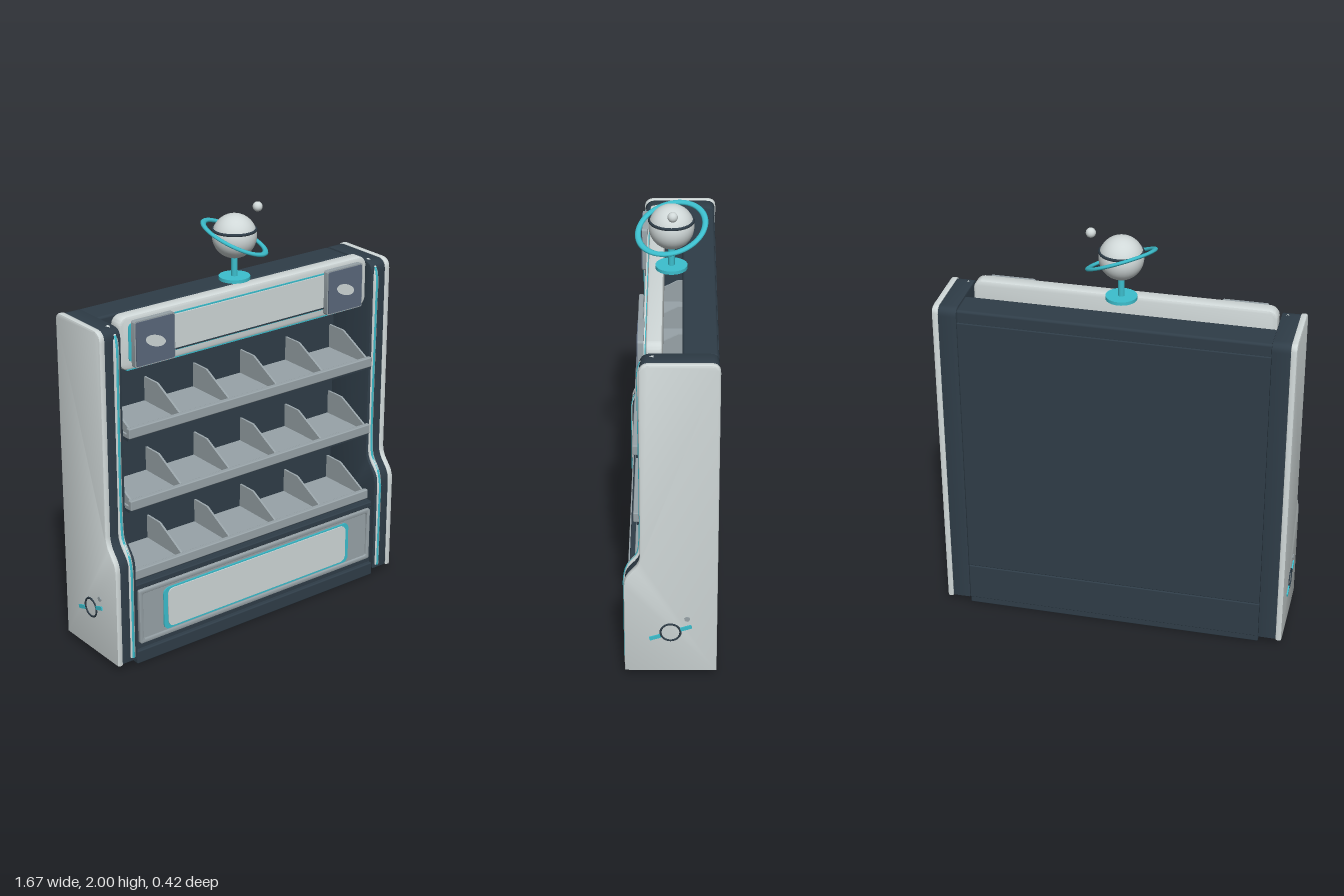
import * as THREE from 'three';
import { RoundedBoxGeometry } from 'three/addons/geometries/RoundedBoxGeometry.js';
import { toCreasedNormals } from 'three/addons/utils/BufferGeometryUtils.js';

const mat = (name, color) => {
  const m = new THREE.MeshStandardMaterial({ color });
  m.name = name;
  return m;
};

export function createModel() {
  const root = new THREE.Group();
  root.name = 'displayShelf';
  const dark = mat('darkNavy', 0x2f3d48);
  const light = mat('paleGrey', 0xd0d8d8);
  const grey = mat('shelfGrey', 0x98a3a8);
  const cyan = mat('cyan', 0x3cbfce);
  const slate = mat('slate', 0x5b687c);

  const add = (name, geo, material, parent = root) => {
    const m = new THREE.Mesh(geo, material);
    m.name = name;
    parent.add(m);
    return m;
  };
  // Box given by its limits on each axis
  const box = (name, material, [x0, x1], [y0, y1], [z0, z1], r = 0) => {
    const s = [x1 - x0, y1 - y0, z1 - z0];
    const geo = r ? new RoundedBoxGeometry(...s, 2, r) : new THREE.BoxGeometry(...s);
    geo.translate((x0 + x1) / 2, (y0 + y1) / 2, (z0 + z1) / 2);
    return add(name, geo, material);
  };
  const extrude = (shape, depth, b) => {
    const geo = new THREE.ExtrudeGeometry(shape, {
      depth: depth - 2 * b, bevelEnabled: b > 0, bevelSize: b, bevelThickness: b,
      bevelOffset: -b, bevelSegments: 2, curveSegments: 8,
    });
    geo.translate(0, 0, b);
    return toCreasedNormals(geo, 0.6);
  };
  const roundRect = (w, h, r) => {
    const s = new THREE.Shape(), x = w / 2, y = h / 2;
    s.absarc(x - r, y - r, r, 0, Math.PI / 2);
    s.absarc(-x + r, y - r, r, Math.PI / 2, Math.PI);
    s.absarc(-x + r, -y + r, r, Math.PI, Math.PI * 1.5);
    s.absarc(x - r, -y + r, r, Math.PI * 1.5, Math.PI * 2);
    return s;
  };
  // Rounded plate facing the front, from z0 to z1
  const plate = (name, material, w, h, r, x, y, z0, z1, b = 0) =>
    add(name, extrude(roundRect(w, h, r), z1 - z0, b).translate(x, y, z0), material);
  // Extrusion of a (z, y) outline along x, centred on x = mid
  const extrudeX = (shape, width, b, mid) =>
    extrude(shape, width, b).translate(0, 0, -width / 2).rotateY(-Math.PI / 2).translate(mid, 0, 0);

  // Side outline: slim top, swelling out to a deeper foot; d insets it
  const sideShape = (d) => {
    const s = new THREE.Shape();
    const back = -0.21 + d, low = 0.03 + d, top = 1.63 - d, f = 0.135 - d, foot = 0.208 - d;
    s.moveTo(back, low);
    s.lineTo(foot, low);
    s.lineTo(foot, 0.5);
    s.bezierCurveTo(foot, 0.58, f + 0.005, 0.58, f, 0.66);
    s.lineTo(f, top - 0.05);
    s.quadraticCurveTo(f, top, f - 0.05, top);
    s.lineTo(back + 0.04, top);
    s.quadraticCurveTo(back, top, back, top - 0.04);
    s.closePath();
    return s;
  };

  for (const side of [1, -1]) {
    // Side walls: dark core, pale outer skin
    add('sideCore', extrudeX(sideShape(0.004), 0.09, 0.006, side * 0.76), dark);
    add('sideSkin', extrudeX(sideShape(0), 0.03, 0.008, side * 0.814), light);

    // Front trim following the outline, with a glowing strip
    const path = (dz) => new THREE.CatmullRomCurve3([
      [0.07, 1.615], [0.115, 1.6], [0.13, 1.55], [0.13, 1.4], [0.13, 0.68], [0.14, 0.62],
      [0.185, 0.555], [0.2, 0.49], [0.2, 0.4], [0.2, 0.05],
    ].map(([z, y]) => new THREE.Vector3(side * 0.743, y, z + dz)));
    add('frontTrim', new THREE.TubeGeometry(path(-0.004), 60, 0.016, 8), light);
    add('trimLight', new THREE.TubeGeometry(path(0.006), 60, 0.008, 6), cyan);

    // Planet ornament on the outside of each wall
    const ornament = new THREE.Group();
    ornament.name = 'sideOrnament';
    ornament.position.set(side * 0.8295, 0.25, 0);
    ornament.rotation.y = side * Math.PI / 2;
    root.add(ornament);
    add('ornamentRing', new THREE.TorusGeometry(0.045, 0.005, 6, 32), dark, ornament);
    for (const e of [1, -1]) {
      const bar = add('ornamentBar', new THREE.BoxGeometry(0.052, 0.018, 0.009), cyan, ornament);
      bar.position.set(e * 0.07, e * 0.026, 0.001);
      bar.rotation.z = 0.33;
    }
    const dot = add('ornamentMoon', new THREE.CylinderGeometry(0.012, 0.012, 0.008, 16), grey, ornament);
    dot.rotation.x = Math.PI / 2;
    dot.position.set(0.075, 0.075, 0);
  }

  // Cabinet body
  box('plinth', dark, [-0.715, 0.715], [0, 0.066], [-0.2, 0.2], 0.006);
  box('baseBox', dark, [-0.72, 0.72], [0.05, 0.4], [-0.2, 0.18]);
  box('lowerBackPanel', dark, [-0.715, 0.715], [0.035, 0.222], [-0.206, -0.15], 0.004);
  box('upperBackPanel', dark, [-0.715, 0.715], [0.226, 1.56], [-0.206, -0.13], 0.004);
  box('topCap', dark, [-0.72, 0.72], [1.55, 1.62], [-0.2, -0.05], 0.012);

  // Shelves with front lip, sloped dividers and a light strip beneath
  const dividerShape = (y) => {
    const s = new THREE.Shape();
    s.moveTo(-0.13, y);
    s.lineTo(0.14, y);
    s.lineTo(0.14, y + 0.035);
    s.lineTo(-0.03, y + 0.125);
    s.lineTo(-0.13, y + 0.125);
    s.closePath();
    return s;
  };
  for (const y of [0.42, 0.772, 1.122]) {
    box('shelfBoard', grey, [-0.705, 0.705], [y - 0.008, y + 0.008], [-0.135, 0.145]);
    box('shelfLip', grey, [-0.707, 0.707], [y - 0.008, y + 0.04], [0.14, 0.165], 0.005);
    box('shelfUnderside', dark, [-0.705, 0.705], [y - 0.022, y - 0.008], [-0.135, 0.15]);
    if (y > 0.5) box('shelfLight', cyan, [-0.66, 0.66], [y - 0.043, y - 0.035], [-0.135, -0.122]);
    for (let i = 0; i < 6; i++) {
      add('divider', extrudeX(dividerShape(y), 0.01, 0, -0.69 + i * 0.276), grey);
    }
  }

  // Header sign
  plate('headerBoard', light, 1.41, 0.248, 0.045, 0, 1.535, 0.035, 0.105, 0.012);
  plate('headerGlow', cyan, 1.32, 0.178, 0.02, 0, 1.537, 0.1, 0.109);
  plate('headerPanel', light, 1.29, 0.164, 0.012, 0, 1.537, 0.1, 0.116);
  box('headerUnderLight', cyan, [-0.66, 0.66], [1.403, 1.411], [0.05, 0.09]);
  box('headerLowerLine', dark, [-0.45, 0.45], [1.455, 1.461], [0.11, 0.119]);
  for (const side of [1, -1]) {
    plate('cornerPlateEdge', grey, 0.215, 0.215, 0.01, side * 0.543, 1.535, 0.114, 0.14);
    plate('cornerPlate', slate, 0.203, 0.203, 0.008, side * 0.543, 1.535, 0.132, 0.144);
    const spot = add('cornerSpot', new THREE.CircleGeometry(1, 24), light);
    spot.scale.set(0.056, 0.026, 1);
    spot.rotation.z = -0.35;
    spot.position.set(side * 0.543, 1.535, 0.146);
  }

  // Base front panel
  const frame = roundRect(1.39, 0.275, 0.01);
  frame.holes.push(roundRect(1.35, 0.235, 0.01));
  plate('basePanel', grey, 1.385, 0.27, 0.01, 0, 0.235, 0.178, 0.188);
  add('basePanelFrame', extrude(frame, 0.02, 0.003).translate(0, 0.235, 0.178), grey);
  plate('baseGlow', cyan, 1.115, 0.215, 0.03, 0, 0.23, 0.184, 0.194);
  plate('baseSign', light, 1.07, 0.195, 0.03, 0, 0.232, 0.184, 0.199);
  box('baseRail', dark, [-0.71, 0.71], [0.375, 0.402], [0.165, 0.19], 0.005);

  // Ringed planet on a stand
  const planet = new THREE.Group();
  planet.name = 'planetTopper';
  planet.position.y = 1.868;
  root.add(planet);
  add('standDisc', new THREE.CylinderGeometry(0.072, 0.072, 0.016, 32), cyan, planet).position.y = -0.196;
  add('standStem', new THREE.CylinderGeometry(0.015, 0.015, 0.12, 16), cyan, planet).position.y = -0.14;
  add('planetBall', new THREE.SphereGeometry(0.102, 32, 24), light, planet);
  const band = add('planetBand', new THREE.TorusGeometry(0.097, 0.007, 8, 40), dark, planet);
  band.rotation.x = Math.PI / 2;
  band.position.y = 0.03;
  const ring = add('planetRing', new THREE.TorusGeometry(0.155, 0.014, 8, 56).scale(1, 1, 0.6), cyan, planet);
  ring.position.y = -0.008;
  ring.quaternion.setFromUnitVectors(new THREE.Vector3(0, 0, 1), new THREE.Vector3(0.38, 1, 0.28).normalize());
  add('moon', new THREE.SphereGeometry(0.023, 16, 12), light, planet).position.set(0.137, 0.109, -0.006);

  return root;
}
